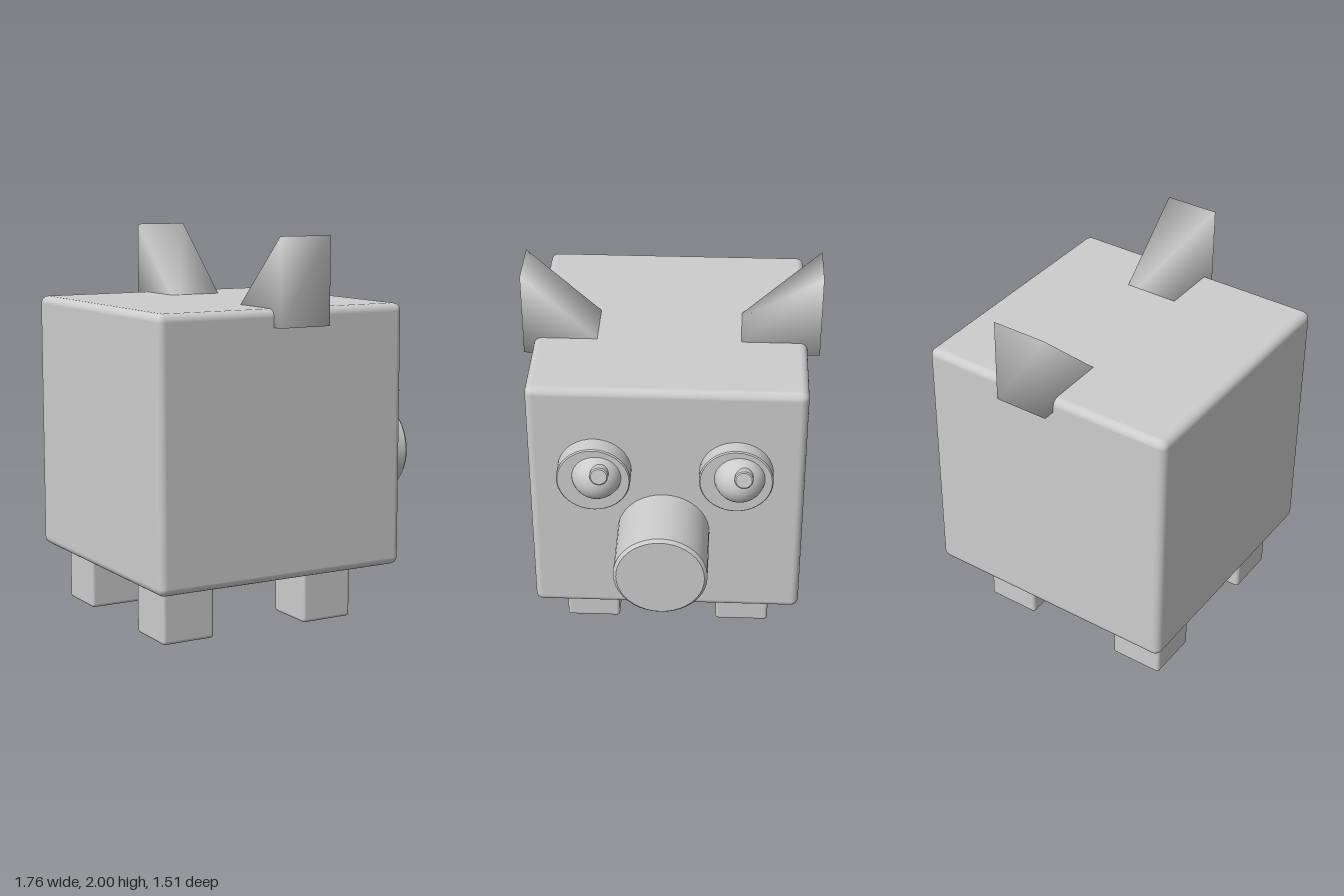
import * as THREE from 'three';
import { mergeVertices } from 'three/addons/utils/BufferGeometryUtils.js';
import { RoundedBoxGeometry } from 'three/addons/geometries/RoundedBoxGeometry.js';

export function createModel() {
  const model = new THREE.Group();
  model.name = 'cubePig';
  const grey = new THREE.MeshStandardMaterial({ color: 0xcccccc });
  grey.name = 'plain grey';

  const add = (name, geometry, x, y, z) => {
    const mesh = new THREE.Mesh(geometry, grey);
    mesh.name = name;
    mesh.position.set(x, y, z);
    model.add(mesh);
    return mesh;
  };

  // Short drum along +x with a slightly softened front rim, base at x = 0
  const drum = (radius, length, bevel) => {
    const points = [
      [0, 0], [radius, 0], [radius, 0], [radius, length - bevel], [radius, length - bevel],
      [radius - bevel, length], [radius - bevel, length], [0, length],
    ].map(([r, h]) => new THREE.Vector2(r, h));
    return new THREE.LatheGeometry(points, 40).rotateZ(-Math.PI / 2);
  };

  // Body
  add('body', new RoundedBoxGeometry(1.39, 1.35, 1.39, 4, 0.04), -0.185, 0.955, 0.005);

  // Legs, running up into the body
  for (const [x, end] of [[0.155, 'front'], [-0.65, 'back']]) {
    for (const [z, side] of [[0.415, 'Right'], [-0.395, 'Left']]) {
      add(`${end}${side}Leg`, new RoundedBoxGeometry(0.285, 0.34, 0.285, 3, 0.018), x, 0.17, z);
    }
  }

  // Snout
  add('snout', drum(0.235, 0.39, 0.015), 0.49, 0.775, 0.02);

  // Eyes: raised socket, ball and small pupil stud
  for (const [side, z, y, front] of [['right', 0.365, 1.16, 0.605], ['left', -0.345, 1.16, 0.59]]) {
    add(`${side}EyeSocket`, drum(0.185, front - 0.49, 0.006), 0.49, y, z);
    add(`${side}Eyeball`, new THREE.SphereGeometry(0.128, 32, 20), 0.57, 1.18, z - 0.017);
    const pupil = add(`${side}Pupil`, drum(0.046, 0.05, 0.006), 0.645, 1.24, z - 0.037);
    pupil.rotation.z = 0.18;
  }

  // Ears: smooth-shaded wedges, upright outside and sloping inwards
  for (const [side, s, top, bottom] of [['right', 1, 1.98, 1.54], ['left', -1, 2, 1.56]]) {
    const profile = new THREE.Shape();
    profile.moveTo(-0.755 * s, top);
    profile.lineTo(-0.755 * s, bottom);
    profile.lineTo(-0.28 * s, bottom);
    profile.closePath();
    const wedge = new THREE.ExtrudeGeometry(profile, { depth: 0.285, bevelEnabled: false });
    wedge.rotateY(Math.PI / 2);
    wedge.deleteAttribute('uv');
    wedge.deleteAttribute('normal');
    const smooth = mergeVertices(wedge, 1e-4);
    smooth.clearGroups();
    smooth.computeVertexNormals();
    add(`${side}Ear`, smooth, -0.253, 0, 0);
  }

  return model;
}
